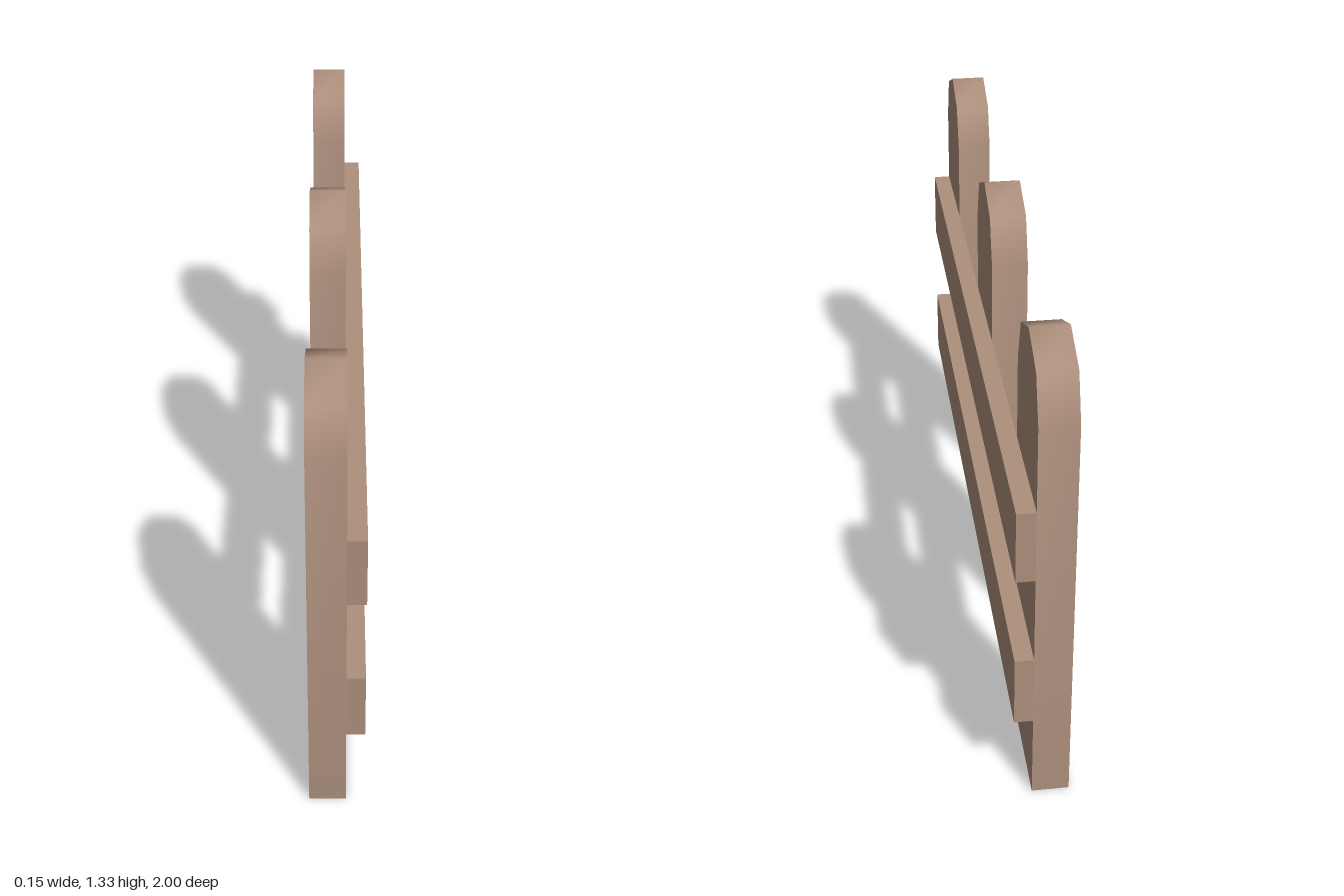
import * as THREE from 'three';
import { toCreasedNormals } from 'three/addons/utils/BufferGeometryUtils.js';

export function createModel() {
  const fence = new THREE.Group();
  fence.name = 'fence';

  const wood = new THREE.MeshStandardMaterial({ color: 0xae907d });
  wood.name = 'wood';

  // Picket outline with a faceted, softly shaded top
  const half = 0.166;
  const outline = new THREE.Shape([
    [-half, 0], [half, 0], [half, 1.155], [0.122, 1.28],
    [0, 1.333], [-0.122, 1.28], [-half, 1.155],
  ].map(([x, y]) => new THREE.Vector2(x, y)));
  const extruded = new THREE.ExtrudeGeometry(outline, { depth: 0.1, bevelEnabled: false });
  extruded.rotateY(-Math.PI / 2);
  extruded.translate(0.025, 0, 0);
  const picketGeometry = toCreasedNormals(extruded, 0.9);

  ['front', 'middle', 'back'].forEach((place, i) => {
    const picket = new THREE.Mesh(picketGeometry, wood);
    picket.name = place + 'Picket';
    picket.position.z = (1 - half) * (1 - i);
    fence.add(picket);
  });

  // Two rails along the left face of the pickets
  const railGeometry = new THREE.BoxGeometry(0.05, 0.206, 2);
  [['lowerRail', 0.356], ['upperRail', 0.816]].forEach(([name, y]) => {
    const rail = new THREE.Mesh(railGeometry, wood);
    rail.name = name;
    rail.position.set(0.05, y, 0);
    fence.add(rail);
  });

  return fence;
}
